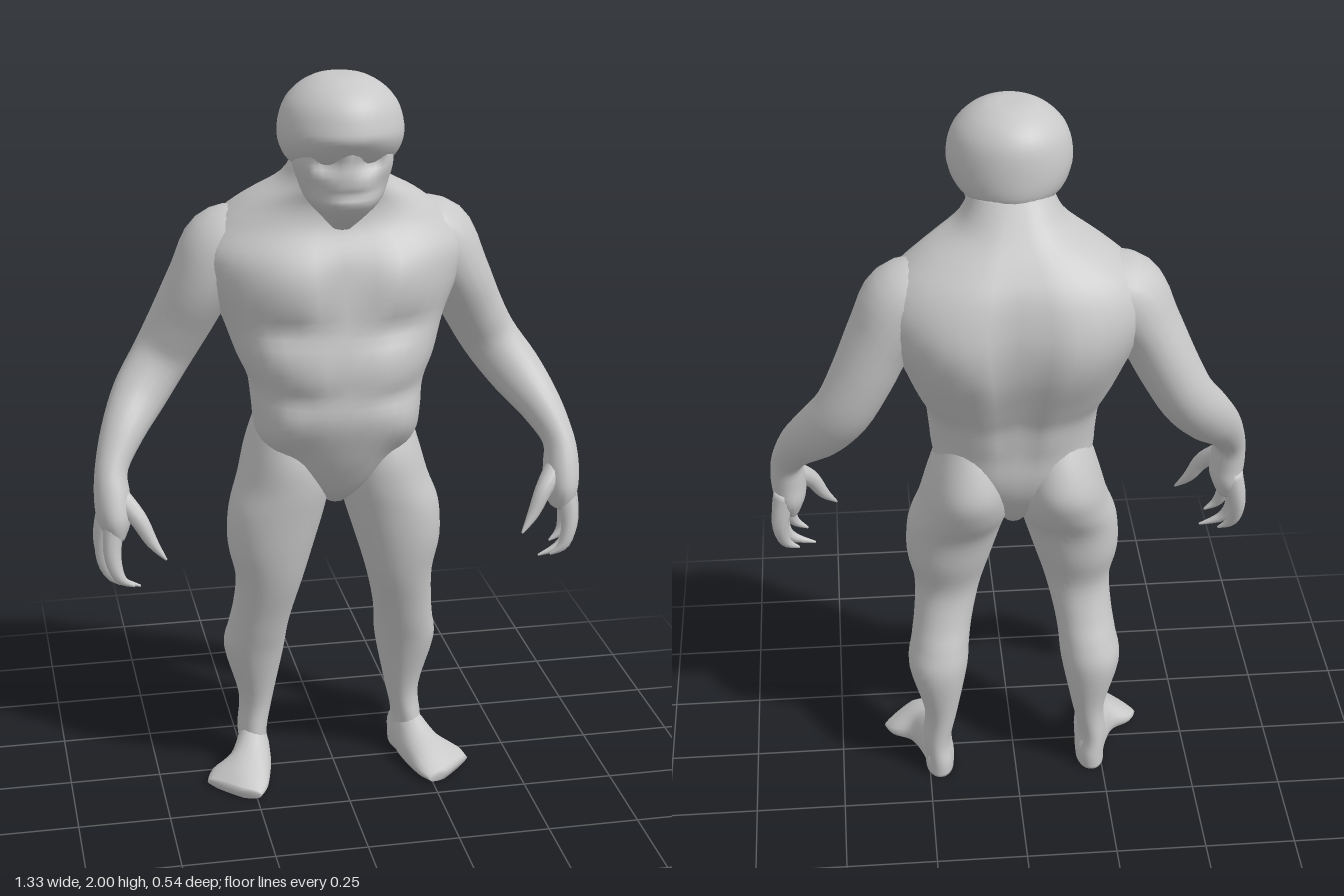
import * as THREE from 'three';

const SIDES = 36;
const skinMaterial = new THREE.MeshStandardMaterial({ color: 0xc8c8c8 });
skinMaterial.name = 'grey skin';

// Smoothly add in-between rows to a table of section numbers
function refine(rows, n = 4) {
  const out = [];
  for (let i = 0; i < rows.length - 1; i++) {
    const a = rows[Math.max(i - 1, 0)], b = rows[i], c = rows[i + 1], d = rows[Math.min(i + 2, rows.length - 1)];
    for (let k = 0; k < n; k++) {
      const t = k / n;
      out.push(b.map((_, m) => {
        const cubic = 3 * (b[m] - c[m]) + d[m] - a[m];
        const square = 2 * a[m] - 5 * b[m] + 4 * c[m] - d[m];
        return b[m] + 0.5 * t * (c[m] - a[m] + t * (square + t * cubic));
      }));
    }
  }
  out.push(rows[rows.length - 1]);
  return out;
}

// Closed skin over rings of points, with a centre point at both ends
function skin(rings) {
  const pos = [], index = [], n = rings[0].length;
  rings.forEach(r => r.forEach(p => pos.push(p.x, p.y, p.z)));
  for (let i = 0; i < rings.length - 1; i++) {
    for (let j = 0; j < n; j++) {
      const a = i * n + j, c = i * n + (j + 1) % n;
      index.push(a, a + n, c, a + n, c + n, c);
    }
  }
  [0, rings.length - 1].forEach((r, end) => {
    const mid = new THREE.Vector3();
    rings[r].forEach(p => mid.addScaledVector(p, 1 / n));
    const m = pos.length / 3;
    pos.push(mid.x, mid.y, mid.z);
    for (let j = 0; j < n; j++) {
      const a = r * n + j, b = r * n + (j + 1) % n;
      if (end) index.push(m, b, a); else index.push(m, a, b);
    }
  });
  const g = new THREE.BufferGeometry();
  g.setAttribute('position', new THREE.Float32BufferAttribute(pos, 3));
  g.setIndex(index);
  g.computeVertexNormals();
  return g;
}

const soft = (v, e) => Math.sign(v) * Math.abs(v) ** e;

// Level sections, bottom to top: [y, xMin, xMax, zBack, zFront]
function levels(rows, e = 0.9) {
  return skin(refine(rows).map(([y, x0, x1, z0, z1]) => Array.from({ length: SIDES }, (_, j) => {
    const t = j / SIDES * Math.PI * 2;
    return new THREE.Vector3((x0 + x1) / 2 + (x1 - x0) / 2 * soft(Math.cos(t), e), y,
      (z0 + z1) / 2 + (z1 - z0) / 2 * soft(Math.sin(t), e));
  })));
}
const centred = rows => rows.map(([y, w, z0, z1]) => [y, -w, w, z0, z1]);

// Limb along a path: [x, y, z, radius across, radius along ref]
function limb(rows, ref = new THREE.Vector3(0, 0, 1), sides = 20) {
  const r = refine(rows);
  const at = i => new THREE.Vector3(...r[THREE.MathUtils.clamp(i, 0, r.length - 1)].slice(0, 3));
  return skin(r.map((s, i) => {
    const T = at(i + 1).sub(at(i - 1)).normalize();
    const V = ref.clone().addScaledVector(T, -T.dot(ref)).normalize();
    const U = T.clone().cross(V);
    return Array.from({ length: sides }, (_, j) => {
      const t = j / sides * Math.PI * 2;
      return at(i).addScaledVector(U, s[3] * Math.cos(t)).addScaledVector(V, s[4] * Math.sin(t));
    });
  }));
}

// Move every vertex by a rule
function shape(g, rule) {
  const p = g.attributes.position, v = new THREE.Vector3();
  for (let i = 0; i < p.count; i++) {
    rule(v.fromBufferAttribute(p, i));
    p.setXYZ(i, v.x, v.y, v.z);
  }
  g.computeVertexNormals();
  return g;
}

// Mirrored swellings and hollows: [x, y, side (1 front, -1 back), rx, ry, amount]
function sculpt(g, bumps, mid = 0) {
  return shape(g, v => {
    const z = v.z;
    for (const [x, y, side, rx, ry, amount] of bumps) {
      const facing = THREE.MathUtils.clamp((z - mid) * side / 0.08, 0, 1);
      const dx = (Math.abs(v.x) - x) / rx, dy = (v.y - y) / ry;
      v.z += side * facing * amount * Math.exp(-dx * dx - dy * dy);
    }
  });
}

function mirror(g) {
  const m = g.clone().scale(-1, 1, 1), ix = m.index;
  for (let i = 0; i < ix.count; i += 3) {
    const a = ix.getX(i);
    ix.setX(i, ix.getX(i + 1));
    ix.setX(i + 1, a);
  }
  m.computeVertexNormals();
  return m;
}

export function createModel() {
  const model = new THREE.Group();
  model.name = 'muscular creature';
  const add = (name, g) => {
    const mesh = new THREE.Mesh(g, skinMaterial);
    mesh.name = name;
    model.add(mesh);
  };
  const pair = (name, g) => {
    add('left ' + name, g);
    add('right ' + name, mirror(g));
  };

  // Torso with pectorals, belly folds, shoulder blades and spine groove
  add('torso', sculpt(levels(centred([
    [0.82, 0.03, -0.05, 0.06], [0.87, 0.07, -0.1, 0.13], [0.95, 0.15, -0.15, 0.18],
    [1.02, 0.212, -0.17, 0.21], [1.1, 0.225, -0.172, 0.235], [1.18, 0.235, -0.185, 0.235],
    [1.25, 0.265, -0.215, 0.235], [1.35, 0.3, -0.25, 0.21], [1.45, 0.345, -0.26, 0.19],
    [1.53, 0.355, -0.25, 0.17], [1.6, 0.31, -0.225, 0.13], [1.66, 0.235, -0.18, 0.12],
    [1.72, 0.14, -0.125, 0.14], [1.8, 0.1, -0.06, 0.14],
  ]), 0.85), [
    [0.13, 1.47, 1, 0.1, 0.08, 0.025], [0, 1.47, 1, 0.03, 0.1, -0.015],
    [0.14, 1.34, 1, 0.07, 0.035, -0.022], [0, 1.22, 1, 0.025, 0.1, -0.008],
    [0.13, 1.16, 1, 0.07, 0.025, -0.012], [0.17, 1.07, 1, 0.05, 0.05, 0.015],
    [0.13, 0.98, 1, 0.05, 0.05, -0.015],
    [0.17, 1.43, -1, 0.12, 0.14, 0.025], [0, 1.36, -1, 0.03, 0.24, -0.035],
    [0.08, 1.14, -1, 0.06, 0.06, 0.01],
  ]));

  // Domed skull, its lower edge raised over the face
  const skull = levels(centred([
    [1.755, 0.1, -0.04, 0.2], [1.79, 0.143, -0.068, 0.256], [1.85, 0.163, -0.07, 0.272],
    [1.92, 0.15, -0.058, 0.256], [1.965, 0.115, -0.028, 0.22], [1.992, 0.07, 0.02, 0.17],
    [2, 0.03, 0.06, 0.13],
  ]), 1);
  add('skull', shape(skull, v => {
    v.y += 0.045 * THREE.MathUtils.clamp(v.z / 0.26, 0, 1) ** 3 * THREE.MathUtils.clamp((1.88 - v.y) / 0.09, 0, 1);
  }));

  // Face and jaw with hollow eye sockets and mouth
  add('face', sculpt(levels(centred([
    [1.605, 0.025, 0.07, 0.15], [1.645, 0.06, 0.05, 0.205], [1.69, 0.098, 0.03, 0.247],
    [1.74, 0.118, 0.01, 0.25], [1.79, 0.13, 0, 0.253], [1.84, 0.125, 0, 0.245],
  ])), [
    [0.055, 1.795, 1, 0.032, 0.025, -0.04], [0, 1.715, 1, 0.06, 0.01, -0.012],
    [0.08, 1.73, 1, 0.03, 0.05, -0.015],
  ], 0.1));

  // Arms, rooted deep in the shoulders
  pair('arm', limb([
    [0.13, 1.53, -0.07, 0.06, 0.08], [0.21, 1.545, -0.06, 0.085, 0.11], [0.285, 1.52, -0.055, 0.108, 0.125],
    [0.345, 1.43, -0.06, 0.09, 0.125], [0.4, 1.32, -0.08, 0.083, 0.105], [0.455, 1.22, -0.085, 0.078, 0.085],
    [0.52, 1.13, -0.04, 0.074, 0.07], [0.575, 1.05, 0.03, 0.058, 0.06], [0.612, 0.97, 0.085, 0.044, 0.05],
    [0.615, 0.9, 0.11, 0.048, 0.062], [0.612, 0.84, 0.12, 0.045, 0.072], [0.61, 0.79, 0.125, 0.025, 0.055],
  ]));

  // Clawed fingers and thumbs
  const girth = [0.03, 0.024, 0.016, 0.003];
  const digits = {
    'outer finger': [[0.625, 0.86, 0.08], [0.643, 0.77, 0.07], [0.633, 0.7, 0.08], [0.595, 0.67, 0.09]],
    'middle finger': [[0.625, 0.86, 0.12], [0.643, 0.75, 0.125], [0.62, 0.68, 0.135], [0.55, 0.65, 0.14]],
    'inner finger': [[0.61, 0.86, 0.15], [0.625, 0.77, 0.17], [0.61, 0.7, 0.185], [0.57, 0.67, 0.185]],
    thumb: [[0.605, 0.91, 0.115], [0.555, 0.855, 0.16], [0.52, 0.79, 0.18], [0.485, 0.745, 0.2]],
  };
  for (const [name, path] of Object.entries(digits)) {
    pair(name, limb(path.map((p, i) => [...p, girth[i], girth[i]]), undefined, 10));
  }

  // Legs from heel to buttock
  pair('leg', levels([
    [0, 0.18, 0.26, -0.148, 0], [0.04, 0.178, 0.26, -0.148, 0.01], [0.1, 0.185, 0.265, -0.14, 0.02],
    [0.2, 0.165, 0.26, -0.14, 0.01], [0.35, 0.135, 0.3, -0.158, 0.045], [0.43, 0.127, 0.29, -0.138, 0.07],
    [0.5, 0.115, 0.28, -0.108, 0.09], [0.6, 0.09, 0.275, -0.085, 0.12], [0.7, 0.06, 0.295, -0.11, 0.14],
    [0.8, 0.03, 0.29, -0.13, 0.15], [0.88, 0.01, 0.262, -0.175, 0.155], [0.96, 0.01, 0.24, -0.2, 0.15],
    [1.04, 0.02, 0.215, -0.175, 0.12], [1.12, 0.04, 0.18, -0.13, 0.08],
  ], 0.95));

  // Feet, flat underneath, splayed outward, with the outer toes set back
  pair('foot', shape(limb([
    [0.218, 0.04, -0.12, 0.035, 0.055], [0.228, 0.04, -0.03, 0.048, 0.085], [0.25, 0.03, 0.05, 0.062, 0.06],
    [0.285, 0.02, 0.12, 0.08, 0.035], [0.308, 0.012, 0.17, 0.074, 0.014],
  ], new THREE.Vector3(0, 1, 0)), v => {
    v.y = Math.max(v.y, 0);
    v.z -= 0.6 * Math.max(v.x - 0.29, 0);
  }));

  return model;
}
